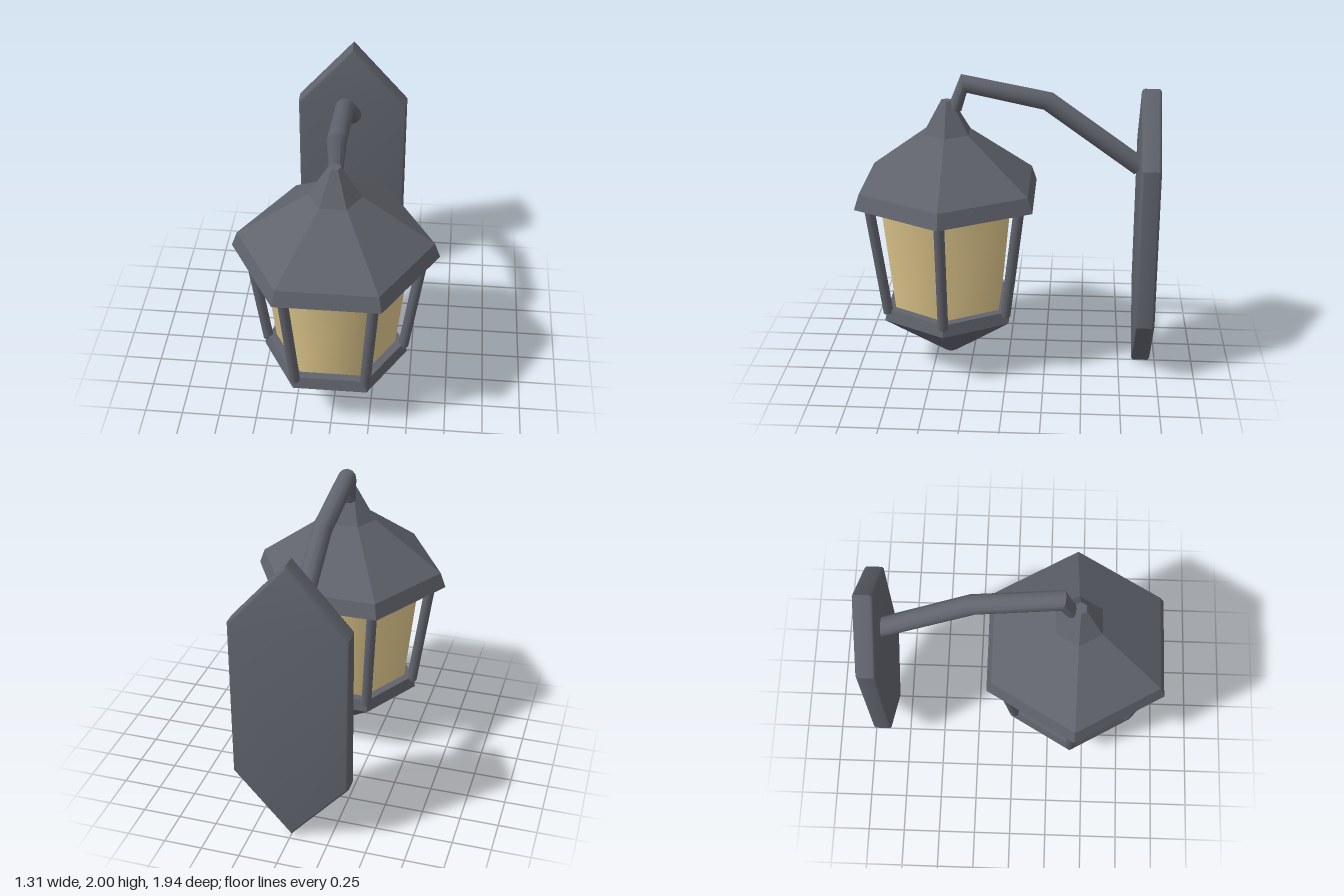
import * as THREE from 'three';
import { toCreasedNormals } from 'three/addons/utils/BufferGeometryUtils.js';

const LAMP_Z = 0.4;

// Six-sided solid turned from [radius, y] pairs, with corners on the x axis
function hexSolid(profile) {
  const points = profile.map(([r, y]) => new THREE.Vector2(r, y));
  return toCreasedNormals(new THREE.LatheGeometry(points, 6, Math.PI / 6), 0.1);
}

// Round bar swept through rings of [z, y, upZ, upY, radius]
function sweptBar(rings, sides = 12) {
  const positions = [], index = [];
  rings.forEach(([z, y, uz, uy, r], i) => {
    for (let j = 0; j < sides; j++) {
      const t = (j / sides) * Math.PI * 2;
      const s = Math.sin(t) * r;
      positions.push(Math.cos(t) * r, y + uy * s, z + uz * s);
      if (i === rings.length - 1) continue;
      const a = i * sides + j, b = i * sides + ((j + 1) % sides);
      index.push(a, b, a + sides, b, b + sides, a + sides);
    }
  });
  const geometry = new THREE.BufferGeometry();
  geometry.setAttribute('position', new THREE.Float32BufferAttribute(positions, 3));
  geometry.setIndex(index);
  return toCreasedNormals(geometry, 0.6);
}

export function createModel() {
  const model = new THREE.Group();
  model.name = 'wallLantern';
  const metal = new THREE.MeshStandardMaterial({ color: 0x60636c });
  metal.name = 'dark grey metal';
  const amber = new THREE.MeshStandardMaterial({ color: 0xdcc48a });
  amber.name = 'amber glass';

  const add = (parent, name, geometry, material) => {
    const mesh = new THREE.Mesh(geometry, material);
    mesh.name = name;
    parent.add(mesh);
    return mesh;
  };

  const lamp = new THREE.Group();
  lamp.name = 'lamp';
  lamp.position.z = LAMP_Z;
  model.add(lamp);

  // Flared hexagonal roof and pointed base
  add(lamp, 'roof', hexSolid([
    [0, 1.19], [0.656, 1.19], [0.62, 1.29], [0.167, 1.62], [0.04, 1.83], [0, 1.83],
  ]), metal);
  add(lamp, 'base', hexSolid([
    [0, 0.05], [0.04, 0.05], [0.475, 0.37], [0.458, 0.45], [0, 0.45],
  ]), metal);

  // Softly shaded six-sided glass
  const glass = new THREE.CylinderGeometry(0.475, 0.395, 0.74, 6, 1, true);
  glass.rotateY(Math.PI / 6);
  add(lamp, 'glass', glass, amber).position.y = 0.82;

  // Leaning posts at the six corners
  const bottom = new THREE.Vector2(0.45, 0.425), top = new THREE.Vector2(0.556, 1.2);
  const lean = Math.atan2(top.x - bottom.x, top.y - bottom.y);
  const postGeometry = new THREE.CylinderGeometry(0.034, 0.034, bottom.distanceTo(top), 12);
  postGeometry.rotateZ(-lean);
  postGeometry.translate((bottom.x + top.x) / 2, (bottom.y + top.y) / 2, 0);
  for (let i = 0; i < 6; i++) {
    add(lamp, 'post', postGeometry, metal).rotation.y = (i * Math.PI) / 3;
  }

  // Bent arm from the wall plate to the roof tip, closed at both ends
  add(model, 'arm', sweptBar([
    [-0.845, 1.41, -0.59, 0.81, 0],
    [-0.845, 1.41, -0.59, 0.81, 0.063],
    [-0.25, 1.835, -0.48, 0.88, 0.063],
    [0.287, 1.942, 0.29, 0.96, 0.062],
    [0.348, 1.775, 0.94, 0.33, 0.045],
    [0.348, 1.775, 0.94, 0.33, 0],
  ]), metal);

  // Pointed wall plate with softened edges
  const outline = [
    [0, 0.003], [0.375, 0.43], [0.375, 1.5], [0, 1.927], [-0.375, 1.5], [-0.375, 0.43],
  ].map(([x, y]) => new THREE.Vector2(x, y));
  const bevel = 0.02;
  const plate = new THREE.ExtrudeGeometry(new THREE.Shape(outline), {
    depth: 0.127 - bevel * 2,
    bevelSize: bevel,
    bevelThickness: bevel,
    bevelOffset: -bevel,
    bevelSegments: 3,
  });
  plate.translate(0, 0, -0.967 + bevel);
  add(model, 'wallPlate', toCreasedNormals(plate, 0.65), metal);

  return model;
}
